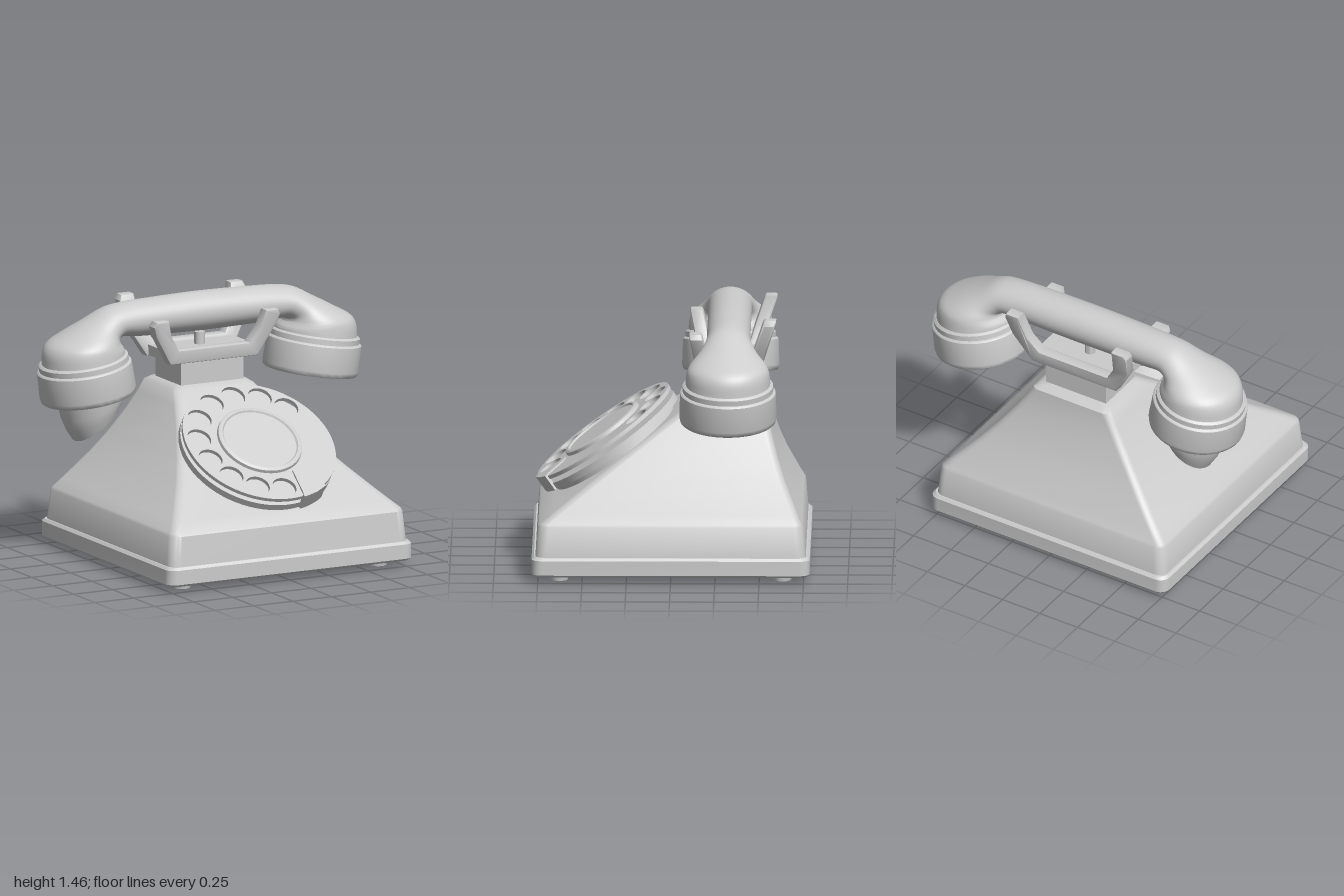
import * as THREE from 'three';
import { toCreasedNormals } from 'three/addons/utils/BufferGeometryUtils.js';

const grey = new THREE.MeshStandardMaterial({ color: 0xcccccc });
grey.name = 'light grey';

function part(name, geometry, parent, crease = 0.6) {
  const mesh = new THREE.Mesh(toCreasedNormals(geometry, crease), grey);
  mesh.name = name;
  parent.add(mesh);
  return mesh;
}

// Skin closed rings of equal length and cap both ends
function loft(rings) {
  const n = rings[0].length, pos = [], idx = [];
  rings.forEach(r => r.forEach(p => pos.push(p.x, p.y, p.z)));
  for (let i = 0; i < rings.length - 1; i++) {
    for (let j = 0; j < n; j++) {
      const a = i * n + j, b = i * n + (j + 1) % n;
      idx.push(a, b, b + n, a, b + n, a + n);
    }
  }
  [0, rings.length - 1].forEach((i, end) => {
    const c = new THREE.Vector3();
    rings[i].forEach(p => c.addScaledVector(p, 1 / n));
    const k = pos.length / 3;
    pos.push(c.x, c.y, c.z);
    for (let j = 0; j < n; j++) {
      const a = i * n + j, b = i * n + (j + 1) % n;
      idx.push(k, end ? a : b, end ? b : a);
    }
  });
  const g = new THREE.BufferGeometry();
  g.setAttribute('position', new THREE.Float32BufferAttribute(pos, 3));
  g.setIndex(idx);
  return g;
}

// Horizontal rounded rectangle
function rectRing(y, hx, zf, zb, r) {
  const ring = [], steps = 6;
  [[1, -1], [-1, -1], [-1, 1], [1, 1]].forEach(([sx, sz], q) => {
    for (let i = 0; i <= steps; i++) {
      const t = (q + i / steps) * Math.PI / 2;
      const cz = sz > 0 ? zf - r : zb + r;
      ring.push(new THREE.Vector3(sx * (hx - r) + r * Math.cos(t), y, cz - r * Math.sin(t)));
    }
  });
  return ring;
}

// Ellipse through two points of the xy plane, with half width w in z
function ovalRing(px, py, qx, qy, w, z, n = 40) {
  return Array.from({ length: n }, (_, i) => {
    const t = i / n * Math.PI * 2, c = Math.cos(t) / 2;
    return new THREE.Vector3((px + qx) / 2 + (px - qx) * c, (py + qy) / 2 + (py - qy) * c, z + w * Math.sin(t));
  });
}

function polygon(points) {
  return new THREE.Shape(points.map(p => new THREE.Vector2(...p)));
}

function extrude(shape, depth, z0, bevel = 0) {
  const g = new THREE.ExtrudeGeometry(shape, {
    depth, curveSegments: 48, bevelEnabled: bevel > 0,
    bevelThickness: bevel, bevelSize: bevel, bevelOffset: -bevel, bevelSegments: 2,
  });
  return g.translate(0, 0, z0);
}

function lathe(points) {
  return new THREE.LatheGeometry(points.map(p => new THREE.Vector2(...p)), 64);
}

function createBody(root) {
  // Recessed floor, skirt and lower wall are square: [y, half size]
  const rings = [[0.07, 0.73], [0.04, 0.735], [0.04, 0.775], [0.052, 0.785], [0.135, 0.785],
    [0.15, 0.772], [0.15, 0.763], [0.32, 0.748]].map(([y, h]) => rectRing(y, h, h, -h, 0.06));
  // Straight front slope, concave sides and back: [y, half width, back z]
  [[0.335, 0.738, -0.738], [0.385, 0.688, -0.714], [0.44, 0.636, -0.69], [0.54, 0.545, -0.645],
    [0.65, 0.455, -0.605], [0.78, 0.36, -0.568], [0.88, 0.295, -0.547], [0.945, 0.257, -0.54]]
    .forEach(([y, hx, zb]) => rings.push(rectRing(y, hx, 0.735 - (y - 0.335) * 1.41, zb, 0.045)));
  rings.push(rectRing(0.965, 0.225, -0.16, -0.51, 0.04));
  part('body', loft(rings), root);

  for (const x of [-0.63, 0.63]) for (const z of [-0.63, 0.63]) {
    part('foot', new THREE.CylinderGeometry(0.066, 0.05, 0.08, 24), root).position.set(x, 0.04, z);
  }
}

function createDial(root) {
  const dial = new THREE.Group();
  dial.name = 'dial';
  dial.position.set(0, 0.73, 0.39);
  dial.rotation.x = THREE.MathUtils.degToRad(-55);
  root.add(dial);

  const disc = (name, r, z0, z1) => part(name,
    new THREE.CylinderGeometry(r, r, z1 - z0, 64).rotateX(Math.PI / 2).translate(0, 0, (z0 + z1) / 2), dial);
  disc('dialMount', 0.4, -0.16, -0.088);
  disc('dialPlate', 0.45, -0.09, -0.05);
  disc('dialHub', 0.15, -0.06, -0.01);

  // Finger wheel with ten holes
  const wheel = new THREE.Shape().absarc(0, 0, 0.45, 0, Math.PI * 2);
  for (let i = 0; i < 10; i++) {
    const a = THREE.MathUtils.degToRad(40 + i * 25.6);
    wheel.holes.push(new THREE.Path().absarc(0.36 * Math.cos(a), 0.36 * Math.sin(a), 0.07, 0, Math.PI * 2, true));
  }
  part('fingerWheel', extrude(wheel, 0.022, -0.022), dial);

  // Raised rim around the centre card
  part('dialCentre', lathe([[0, -0.01], [0.25, -0.01], [0.245, 0.018], [0.235, 0.024],
    [0.222, 0.024], [0.214, 0.014], [0, 0.014]]).rotateX(Math.PI / 2), dial);

  // Finger stop reaches over the wheel and down its edge
  part('fingerStop', extrude(polygon([[0.1, -0.25], [0.095, -0.35], [0.09, -0.455], [0.18, -0.43],
    [0.245, -0.39], [0.19, -0.33], [0.15, -0.27]]), 0.012, -0.002), dial);
  const a0 = THREE.MathUtils.degToRad(-79), a1 = THREE.MathUtils.degToRad(-57);
  const edge = new THREE.Shape().absarc(0, 0, 0.464, a0, a1);
  edge.absarc(0, 0, 0.445, a1, a0, true);
  part('fingerStopEdge', extrude(edge, 0.1, -0.09), dial);
}

function createCradle(root) {
  part('neck', new THREE.BoxGeometry(0.4, 0.17, 0.3), root).position.set(0, 1.03, -0.32);
  part('cradleBase', new THREE.BoxGeometry(0.54, 0.06, 0.28), root).position.set(0, 1.13, -0.32);
  part('plunger', new THREE.CylinderGeometry(0.03, 0.03, 0.08, 24), root).position.set(0, 1.19, -0.32);

  // Two forked plates, leaning away from each other
  for (const [name, z, tip, lean] of [['frontRest', -0.18, 1.36, 0.045], ['backRest', -0.46, 1.44, -0.1]]) {
    const half = [[0.28, 1.095], [0.385, 1.27], [0.405, tip - 0.03], [0.39, tip], [0.31, tip], [0.285, 1.27], [0.225, 1.175]];
    const mirrored = half.map(([x, y]) => [-x, y]).reverse();
    const g = extrude(polygon([...half, ...mirrored]), 0.05, -0.025, 0.012);
    const p = g.attributes.position;
    for (let i = 0; i < p.count; i++) {
      const k = Math.max(0, (p.getY(i) - 1.15) / (tip - 1.15));
      p.setZ(i, p.getZ(i) + z + lean * k);
    }
    part(name, g, root);
  }
}

function createHandset(root) {
  const z = -0.324;
  const handset = new THREE.Group();
  handset.name = 'handset';
  root.add(handset);

  // Half of the handle: [outer x, y, inner x, y, half width]
  const half = [[0.3, 1.456, 0.27, 1.242, 0.123], [0.5, 1.447, 0.43, 1.248, 0.123],
    [0.6, 1.428, 0.51, 1.258, 0.13], [0.72, 1.366, 0.54, 1.252, 0.16], [0.86, 1.291, 0.54, 1.24, 0.208],
    [0.95, 1.236, 0.525, 1.222, 0.23], [0.975, 1.19, 0.512, 1.205, 0.236], [0.98, 1.11, 0.508, 1.185, 0.24]];
  const sections = [...half.map(([a, b, c, d, w]) => [-a, b, -c, d, w]).reverse(),
    [0, 1.462, 0, 1.238, 0.123], ...half];
  const outer = new THREE.CatmullRomCurve3(sections.map(s => new THREE.Vector3(s[0], s[1], s[4])));
  const inner = new THREE.CatmullRomCurve3(sections.map(s => new THREE.Vector3(s[2], s[3], 0)));
  const rings = [];
  for (let i = 0; i <= 64; i++) {
    const p = outer.getPoint(i / 64), q = inner.getPoint(i / 64);
    rings.push(ovalRing(p.x, p.y, q.x, q.y, p.z, z));
  }
  part('handle', loft(rings), handset, 0.8);

  // Stepped cups, tilted outwards
  for (const side of [1, -1]) {
    const cup = part(side > 0 ? 'earCup' : 'mouthCup', lathe([[0, 0], [0.262, 0], [0.27, 0.008], [0.275, 0.03],
      [0.27, 0.175], [0.262, 0.184], [0.256, 0.186], [0.256, 0.216], [0.242, 0.226], [0, 0.226]]), handset);
    cup.position.set(side * 0.71, 0.93, z);
    cup.rotation.z = -side * 0.158;
  }

  // Mouthpiece horn with a slanted, hollow opening
  part('mouthpiece', loft([[-0.5, 0.97, -0.89, 0.91, 0.19], [-0.512, 0.935, -0.865, 0.8, 0.182],
    [-0.522, 0.915, -0.835, 0.735, 0.168], [-0.53, 0.9, -0.8, 0.68, 0.15], [-0.55, 0.885, -0.782, 0.696, 0.13],
    [-0.61, 0.925, -0.81, 0.765, 0.11]].map(s => ovalRing(...s, z))), handset);
}

export function createModel() {
  const root = new THREE.Group();
  root.name = 'telephone';
  createBody(root);
  createDial(root);
  createCradle(root);
  createHandset(root);
  return root;
}
